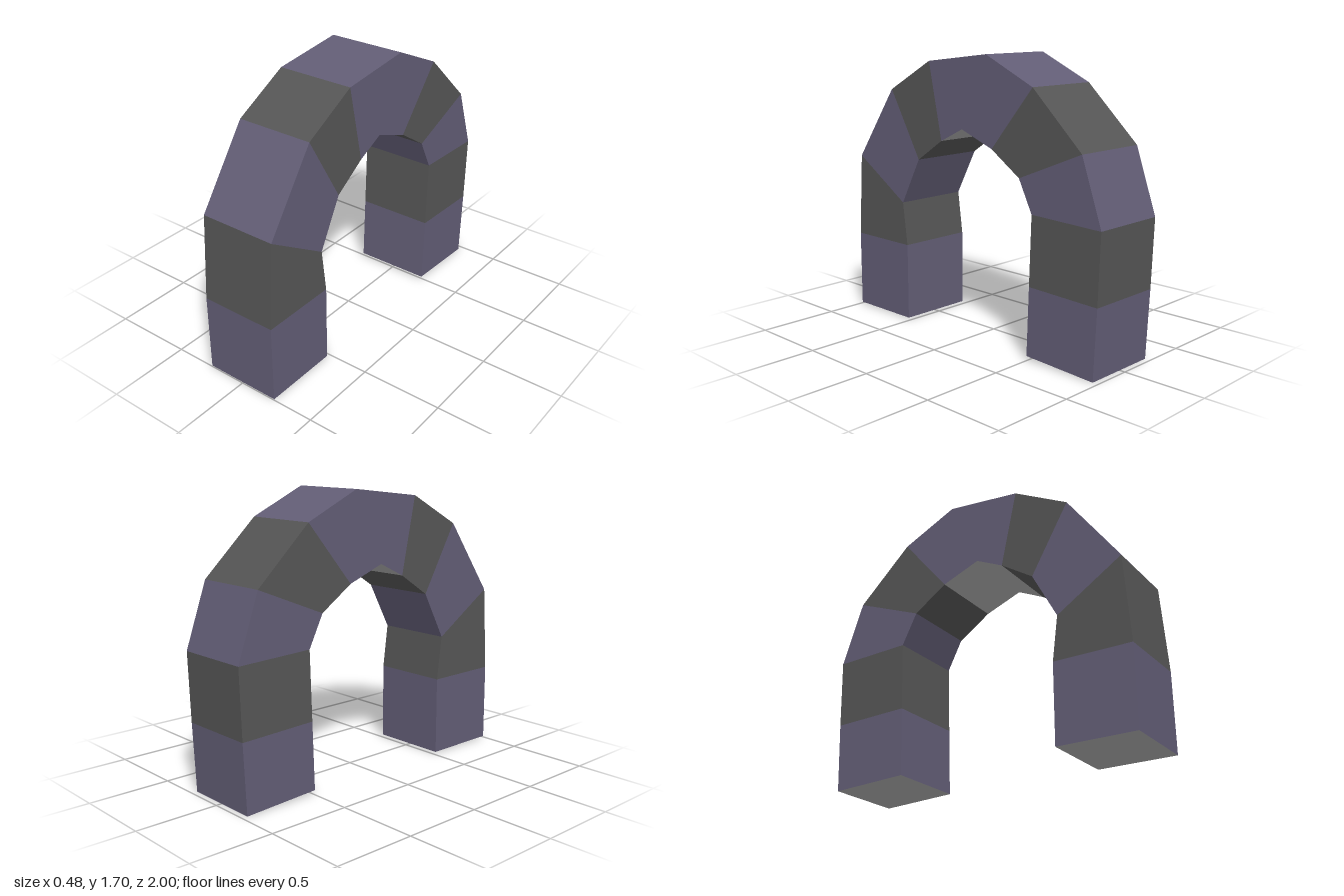
import * as THREE from 'three';

const HALF = 0.24; // half the arch's thickness along x

const makeMaterial = (color) => new THREE.MeshStandardMaterial({ color, flatShading: true });

// Joints along the arch, front foot to back foot: [outer z, outer y, inner z, inner y]
const JOINTS = [
  [1.0, 0.01, 0.525, 0.01],
  [1.0, 0.49, 0.525, 0.49],
  [0.965, 1.015, 0.56, 0.76],
  [0.645, 1.465, 0.405, 1.05],
  [0.30, 1.652, 0.20, 1.185],
  [-0.17, 1.707, 0.025, 1.27],
  [-0.52, 1.545, -0.215, 1.18],
  [-0.865, 1.22, -0.425, 1.04],
  [-1.0, 0.835, -0.52, 0.85],
  [-0.985, 0.42, -0.505, 0.435],
  [-0.965, 0.003, -0.49, 0.025],
];
const outer = (i) => [JOINTS[i][0], JOINTS[i][1]];
const inner = (i) => [JOINTS[i][2], JOINTS[i][3]];

// Flat-shaded mesh from a list of four-cornered faces
function quadMesh(name, quads, material) {
  const positions = quads.flatMap(([a, b, c, d]) => [a, b, c, a, c, d].flat());
  const geometry = new THREE.BufferGeometry();
  geometry.setAttribute('position', new THREE.Float32BufferAttribute(positions, 3));
  geometry.computeVertexNormals();
  const mesh = new THREE.Mesh(geometry, material);
  mesh.name = name;
  return mesh;
}

// Face across the full thickness, from one profile point to the next
const across = ([pz, py], [qz, qy]) => [
  [-HALF, py, pz], [HALF, py, pz], [HALF, qy, qz], [-HALF, qy, qz],
];

// The two flat sides of the stretch between joints i and i + 1
function sides(i) {
  const loop = [outer(i), inner(i), inner(i + 1), outer(i + 1)];
  const at = (x) => loop.map(([z, y]) => [x, y, z]);
  return [at(HALF), at(-HALF).reverse()];
}

export function createModel() {
  const group = new THREE.Group();
  group.name = 'arch';
  const purple = makeMaterial(0x625d75);
  const grey = makeMaterial(0x555555);
  const pale = makeMaterial(0xaaaaaa);

  // Blocks in alternating colours; the keystone spans two stretches
  const blocks = [
    ['frontFootBlock', 0, 1], ['frontLegBlock', 1, 2], ['frontShoulder', 2, 3],
    ['frontHaunch', 3, 4], ['keystone', 4, 6], ['backHaunch', 6, 7],
    ['backShoulder', 7, 8], ['backLegBlock', 8, 9], ['backFootBlock', 9, 10],
  ];
  blocks.forEach(([name, start, end], n) => {
    const faces = [];
    const soffit = [];
    for (let i = start; i < end; i++) {
      faces.push(across(outer(i), outer(i + 1)), ...sides(i));
      soffit.push(across(inner(i + 1), inner(i)));
    }
    const material = n % 2 ? grey : purple;
    if (name === 'keystone') group.add(quadMesh('keystoneUnderside', soffit, pale));
    else faces.push(...soffit);
    group.add(quadMesh(name, faces, material));
  });

  // Undersides of the two feet
  const last = JOINTS.length - 1;
  group.add(quadMesh('frontFootUnderside', [across(inner(0), outer(0))], pale));
  group.add(quadMesh('backFootUnderside', [across(outer(last), inner(last))], pale));
  return group;
}
